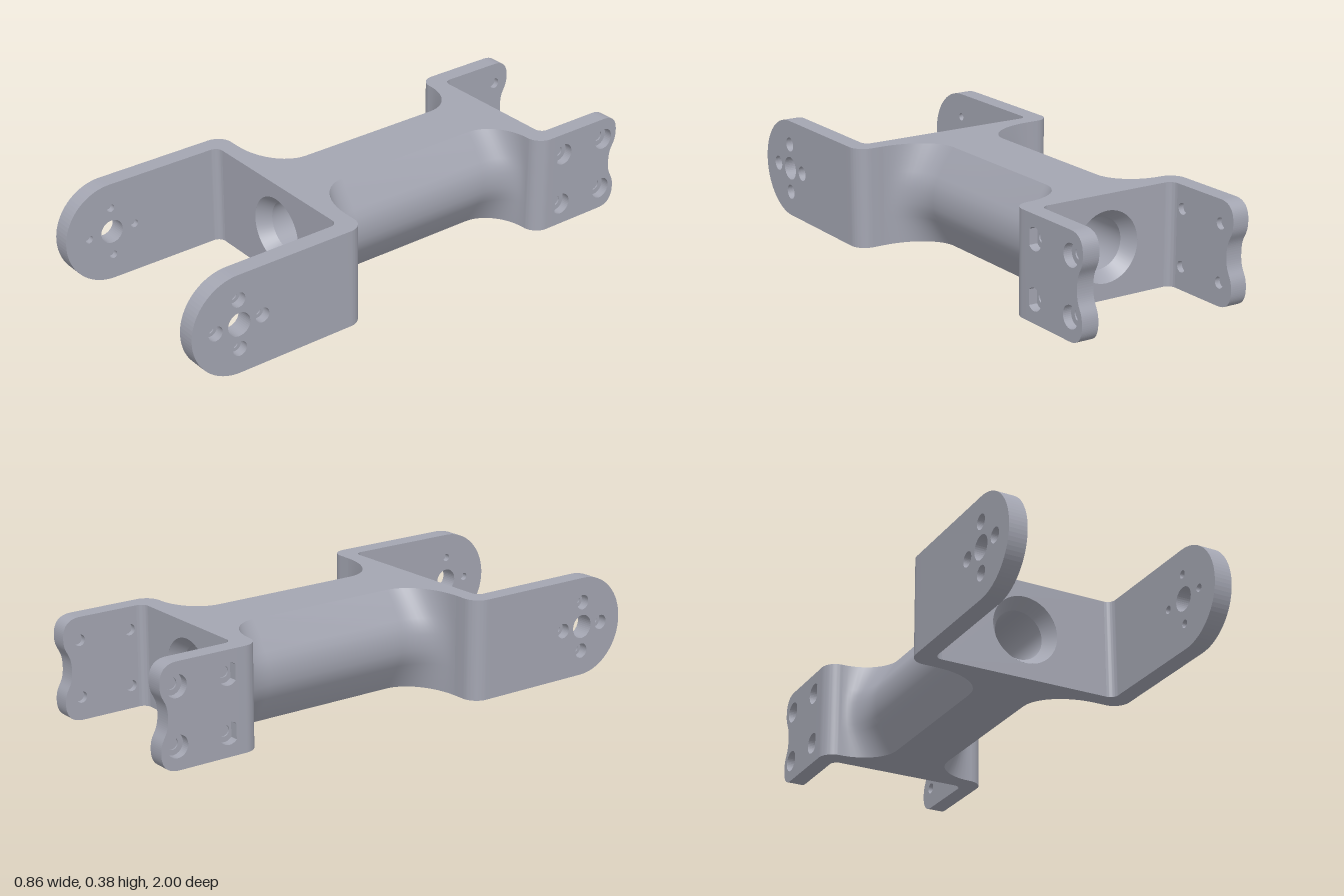
import * as THREE from 'three';
import { toCreasedNormals } from 'three/addons/utils/BufferGeometryUtils.js';

const H = 0.19; // half height
const metal = new THREE.MeshStandardMaterial({ color: 0xa3a5b1, side: THREE.DoubleSide });
metal.name = 'brushed grey';

function mesh(name, geometry) {
  const m = new THREE.Mesh(geometry, metal);
  m.name = name;
  return m;
}

function circle(u, v, r) {
  return new THREE.Path().absarc(u, v, r, 0, Math.PI * 2, true);
}

function extrude(shape, depth, curveSegments = 20) {
  return new THREE.ExtrudeGeometry(shape, { depth, curveSegments, bevelEnabled: false });
}

// Arm outlines are drawn with u = -z, v = y
function roundArm(start) {
  const s = new THREE.Shape();
  s.moveTo(-start, -H);
  s.lineTo(-0.81, -H);
  s.absarc(-0.81, 0, H, -Math.PI / 2, Math.PI / 2, true);
  s.lineTo(-start, H);
  return s;
}

function notchedArm(start) {
  const s = new THREE.Shape();
  s.moveTo(-start, -H);
  s.lineTo(-0.93, -H);
  s.quadraticCurveTo(-1, -H, -1, -0.12);
  s.bezierCurveTo(-1, -0.06, -0.97, -0.07, -0.97, 0);
  s.bezierCurveTo(-0.97, 0.07, -1, 0.06, -1, 0.12);
  s.quadraticCurveTo(-1, H, -0.93, H);
  s.lineTo(-start, H);
  return s;
}

// Fork with a base plate, two rounded corners and two drilled arms, opening to +z
function makeFork({ name, inner, outer, zBack, zFace, outline, screws, bore, pilot, axle }) {
  const fork = new THREE.Group();
  fork.name = name;
  const fillet = 0.03, round = 0.06;
  const c = inner - fillet, start = zFace + fillet;

  const plate = new THREE.Shape();
  plate.moveTo(-c, -H);
  plate.lineTo(c, -H);
  plate.lineTo(c, H);
  plate.lineTo(-c, H);
  plate.holes.push(circle(0, 0, 0.13));
  const base = mesh('forkBase', extrude(plate, zFace - zBack, 32));
  base.position.z = zBack;
  fork.add(base);

  // Corner outline, seen from above with v = -z
  const corner = new THREE.Shape();
  corner.moveTo(c, -zBack);
  corner.lineTo(outer - round, -zBack);
  corner.absarc(outer - round, -zBack - round, round, Math.PI / 2, 0, true);
  corner.lineTo(outer, -start);
  corner.lineTo(inner, -start);
  corner.absarc(c, -start, fillet, 0, Math.PI / 2, false);
  const cornerGeo = toCreasedNormals(extrude(corner, 2 * H, 8).rotateX(-Math.PI / 2).translate(0, -H, 0), 0.5);

  const half = (outer - inner) / 2;
  const layer = (radius, x) => {
    const s = outline(start);
    for (const [z, y] of screws) s.holes.push(circle(-z, y, radius));
    if (axle) s.holes.push(circle(-axle.z, 0, axle.r));
    return extrude(s, half).rotateY(Math.PI / 2).translate(x, 0, 0);
  };
  const innerGeo = layer(pilot, inner);
  const outerGeo = layer(bore, inner + half);

  // The second side is the first turned half way round the z axis
  for (const side of ['left', 'right']) {
    const arm = new THREE.Group();
    arm.name = side + 'Arm';
    arm.add(mesh('armCorner', cornerGeo), mesh('armInnerLayer', innerGeo), mesh('armOuterLayer', outerGeo));
    for (const [z, y] of screws) {
      const floor = mesh('screwHoleFloor', new THREE.CylinderGeometry(pilot, pilot, 0.006, 20));
      floor.rotation.z = Math.PI / 2;
      floor.position.set(inner + half * 0.75, y, z);
      arm.add(floor);
    }
    if (side === 'right') arm.rotation.z = Math.PI;
    fork.add(arm);
  }
  return fork;
}

// Beam with bulging sides that flare into both fork bases
function makeBeam() {
  const right = [[0.11, -H], [0.176, -0.087], [0.19, -0.06], [0.198, -0.03], [0.2, 0],
    [0.198, 0.03], [0.19, 0.06], [0.176, 0.087], [0.11, H]];
  const stations = [];
  const steps = 12;
  for (let i = steps; i >= 0; i--) {
    const a = (i / steps) * Math.PI / 2;
    stations.push({ z: -0.6 + 0.14 * (1 - Math.sin(a)), flare: 1 - Math.cos(a), end: 0.28 });
  }
  for (let i = 0; i <= steps; i++) {
    const a = (i / steps) * Math.PI / 2;
    stations.push({ z: 0.28 - 0.15 * (1 - Math.sin(a)), flare: 1 - Math.cos(a), end: 0.32 });
  }
  const pos = [], index = [], n = right.length * 2;
  for (const { z, flare, end } of stations) {
    const ring = right.map(([x, y]) => [x + (end - x) * flare, y]);
    for (const [x, y] of ring) pos.push(x, y, z);
    for (const [x, y] of ring.reverse()) pos.push(-x, y, z);
  }
  for (let k = 0; k < stations.length - 1; k++) {
    for (let i = 0; i < n; i++) {
      const j = (i + 1) % n;
      const a = k * n + i, b = k * n + j, c = b + n, d = a + n;
      index.push(a, b, c, a, c, d);
    }
  }
  const geo = new THREE.BufferGeometry();
  geo.setAttribute('position', new THREE.Float32BufferAttribute(pos, 3));
  geo.setIndex(index);
  return mesh('beam', toCreasedNormals(geo, 0.6));
}

export function createModel() {
  const model = new THREE.Group();
  model.name = 'armLink';
  const body = new THREE.Group();
  body.name = 'body';
  body.position.y = H;
  model.add(body);

  body.add(makeBeam());

  // Countersunk bore through the beam
  const profile = [[0.13, -0.67], [0.095, -0.62], [0.095, 0.295], [0.13, 0.345]]
    .map(([r, z]) => new THREE.Vector2(r, z));
  body.add(mesh('bore', toCreasedNormals(new THREE.LatheGeometry(profile, 48).rotateX(Math.PI / 2), 0.5)));

  body.add(makeFork({
    name: 'frontFork', inner: 0.36, outer: 0.428, zBack: 0.28, zFace: 0.345, outline: roundArm,
    screws: [[0.905, 0], [0.715, 0], [0.81, 0.095], [0.81, -0.095]],
    bore: 0.028, pilot: 0.015, axle: { z: 0.81, r: 0.045 },
  }));

  const backFork = makeFork({
    name: 'backFork', inner: 0.277, outer: 0.342, zBack: 0.6, zFace: 0.67, outline: notchedArm,
    screws: [[0.73, 0.105], [0.73, -0.105], [0.935, 0.105], [0.935, -0.105]],
    bore: 0.041, pilot: 0.021,
  });
  backFork.rotation.y = Math.PI;
  body.add(backFork);
  return model;
}
